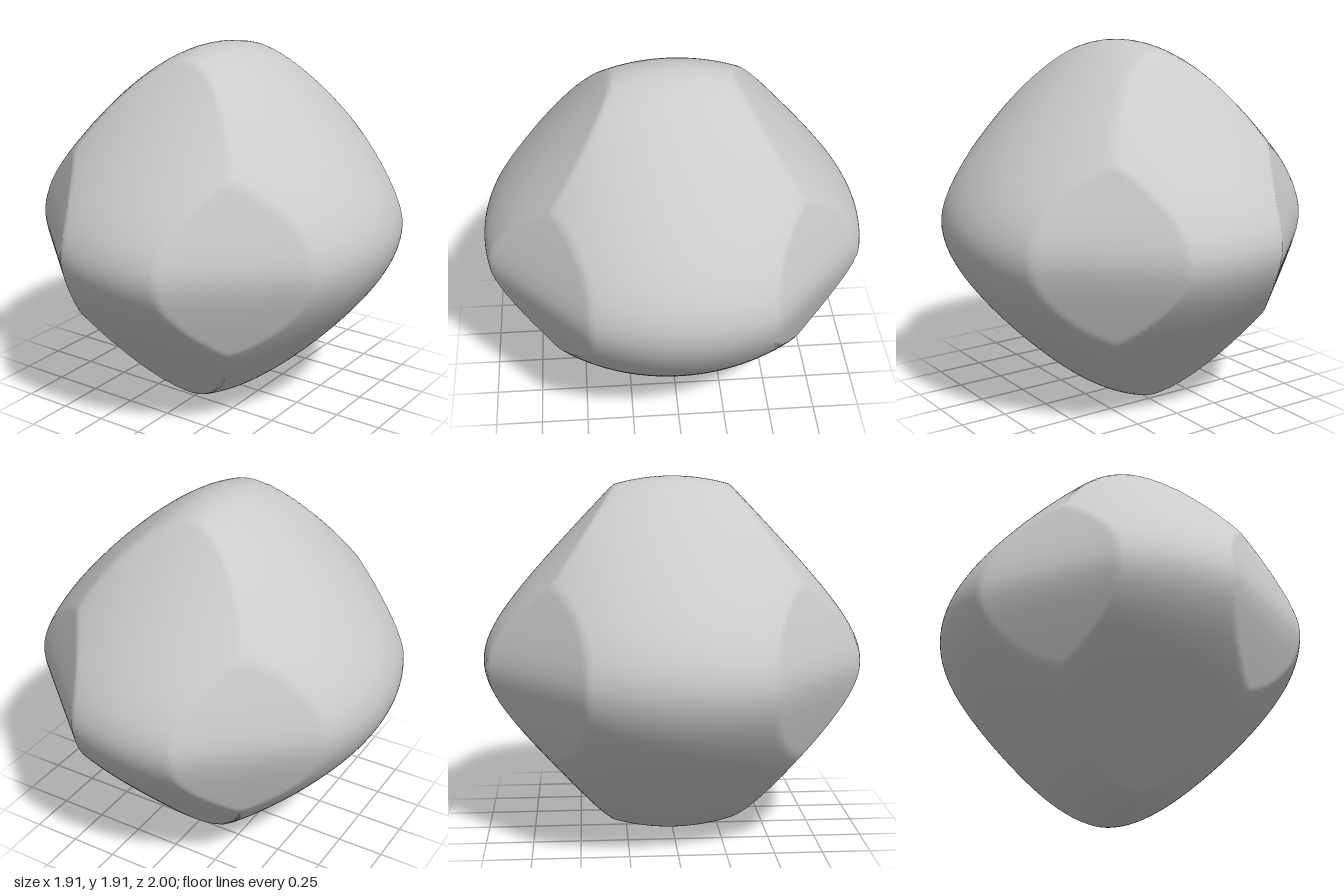
import * as THREE from 'three';
import { mergeVertices } from 'three/addons/utils/BufferGeometryUtils.js';

const HALF = 0.955; // half height and half width

// length of |v| with its kink at zero rounded off by e
const soft = (v, e) => Math.hypot(v, e);
// shrink factor that makes a pair of faces bulge along the third axis
const bulge = (v, radius) => Math.sqrt(Math.max(1e-6, 1 - (v / radius) ** 2));

// True inside the three crossing four-sided bodies
function inside(x, y, z) {
  const a = bulge(z, 1.02), c = bulge(x, 1.1);
  // faces between side and top, all ridges rounded
  const e = 0.33;
  if (soft(x / a, e) + soft(y / a, e) > soft(HALF, e) + e) return false;
  // faces between front and top, rounded only at front and back
  if (soft(y / c, 0.25) + Math.abs(z / c) > 1.25) return false;
  // faces between front and side, folded along a soft ridge at mid height
  return 0.893 * Math.abs(x) + Math.abs(z) + 0.5 * (soft(y, 0.12) - 0.12) <= 1.222;
}

// Distance from the centre to the surface along a unit direction
function reach(d) {
  let lo = 0, hi = 1.3;
  for (let i = 0; i < 26; i++) {
    const m = (lo + hi) / 2;
    if (inside(d.x * m, d.y * m, d.z * m)) lo = m;
    else hi = m;
  }
  return lo;
}

export function createModel() {
  // sphere with its poles at front and back, pushed onto the faceted body
  let geo = new THREE.SphereGeometry(1, 192, 128).rotateX(Math.PI / 2);
  geo.deleteAttribute('uv');
  geo.deleteAttribute('normal');
  geo = mergeVertices(geo, 1e-5);
  const pos = geo.attributes.position;
  const d = new THREE.Vector3();
  for (let i = 0; i < pos.count; i++) {
    d.fromBufferAttribute(pos, i).normalize();
    d.multiplyScalar(reach(d));
    pos.setXYZ(i, d.x, d.y + HALF, d.z);
  }
  geo.computeVertexNormals();

  const body = new THREE.Mesh(geo, new THREE.MeshStandardMaterial({ color: 0xcccccc }));
  body.name = 'roundedTwelveSidedStone';
  const group = new THREE.Group();
  group.name = 'stone';
  group.add(body);
  return group;
}
